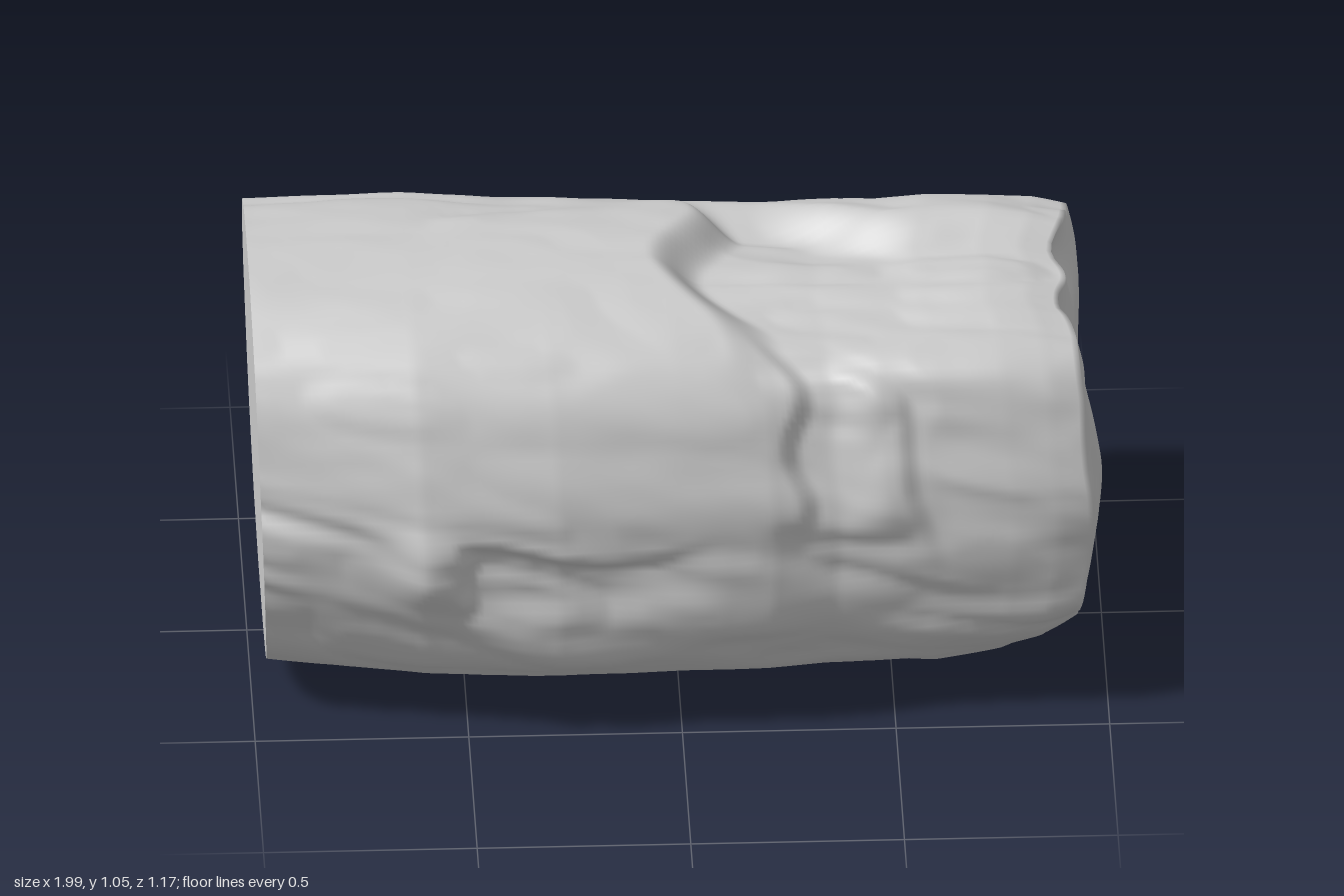
import * as THREE from 'three';

const RING = 180, LENGTH = 150, CAP = 36, CY = 0.53;
const RAD = Math.PI / 180;
const smooth = (a, b, v) => THREE.MathUtils.smoothstep(v, a, b);
const bell = (v, c, w) => Math.exp(-(((v - c) / w) ** 2));

// Extents along the length: x, top, bottom, front, back
const STATIONS = [
  [-1, 1.055, 0.06, 0.48, 0.585], [-0.8, 1.055, 0.04, 0.52, 0.58],
  [-0.62, 1.055, 0.03, 0.555, 0.575], [-0.3, 1.05, 0.02, 0.56, 0.57],
  [0, 1.045, 0.022, 0.535, 0.555], [0.2, 1.035, 0.015, 0.52, 0.55],
  [0.35, 1.03, 0.01, 0.485, 0.55], [0.6, 1.035, 0.01, 0.472, 0.557],
  [0.76, 1.03, 0.045, 0.467, 0.545], [0.86, 1.02, 0.085, 0.46, 0.535],
  [0.95, 1.0, 0.16, 0.448, 0.515],
];

function extents(x) {
  let i = 0;
  while (i < STATIONS.length - 2 && x > STATIONS[i + 1][0]) i++;
  const a = STATIONS[i], b = STATIONS[i + 1];
  const t = (x - a[0]) / (b[0] - a[0]);
  return a.map((v, k) => v + (b[k] - v) * t);
}

// Seeded value noise in -1..1
function hash(x, y, z) {
  let h = Math.imul(x, 374761393) ^ Math.imul(y, 668265263) ^ Math.imul(z, 1274126177);
  h = Math.imul(h ^ (h >>> 13), 1103515245);
  return (((h ^ (h >>> 16)) >>> 0) / 4294967295) * 2 - 1;
}
function noise(x, y, z) {
  const f = [x, y, z].map(Math.floor);
  const [u, v, w] = [x - f[0], y - f[1], z - f[2]].map((t) => t * t * (3 - 2 * t));
  let sum = 0;
  for (let c = 0; c < 8; c++) {
    const i = c & 1, j = (c >> 1) & 1, k = c >> 2;
    sum += hash(f[0] + i, f[1] + j, f[2] + k) * (i ? u : 1 - u) * (j ? v : 1 - v) * (k ? w : 1 - w);
  }
  return sum;
}

// Carved marks on the side: angle 0 is the front, 90 the top
function relief(x, deg) {
  let d = 0;
  // planed upper front and upper back
  d -= 0.016 * bell(deg, 24, 14) + 0.01 * bell(deg, 150, 16);
  // sunken top beyond the slab, leaving a ridge along the back
  const start = 0.04 + 0.05 * Math.sin(deg * 0.13) + 0.12 * (1 - smooth(45, 70, deg));
  const ridge = 122 - 16 * smooth(0.2, 0.6, x);
  d -= (0.085 - 0.015 * smooth(0.5, 0.9, x)) * smooth(start - 0.04, start + 0.09, x)
    * smooth(42, 68, deg) * (1 - smooth(ridge - 10, ridge + 4, deg));
  // broken edge of the thick front slab
  const edge = 0.26 - 0.18 * smooth(40, 80, deg) + 0.02 * Math.sin(deg * 0.2);
  d -= 0.028 * smooth(edge - 0.02, edge + 0.03, x) * (1 - smooth(edge + 0.08, 0.48, x))
    * smooth(-2, 10, deg) * (1 - smooth(45, 60, deg));
  // plate beside it, its upper border falling towards the broken end
  const plate = 0.51 + 0.003 * Math.max(0, 10 - deg);
  const border = 66 - (x - 0.1) * 70;
  d += 0.02 * smooth(plate - 0.3, plate - 0.03, x) * (1 - smooth(plate - 0.01, plate + 0.04, x))
    * smooth(-15, 10, deg) * (1 - smooth(border - 4, border + 6, deg));
  // hollow under the slab and the knob beside it
  d -= 0.035 * smooth(-0.55, -0.5, x + 0.01 * Math.sin(deg * 0.5)) * (1 - smooth(-0.2, 0.1, x))
    * smooth(-24, -13, deg) * (1 - smooth(-4, 0, deg - 3 * Math.sin(x * 9)));
  d += 0.035 * bell(x, -0.61, 0.08) * bell(deg, -4, 9);
  // undercut at the lower left and the crack above it
  d -= 0.025 * bell(deg, -30, 13) * (1 - smooth(-0.6, -0.35, x));
  d -= 0.016 * bell(deg, 9 - (x + 1) * 25, 3) * (1 - smooth(-0.8, -0.65, x));
  // lower front ledge
  d += 0.014 * bell(deg, -29 + 4 * Math.sin(x * 7), 6) * smooth(-0.5, -0.3, x);
  // lump low on the back of the broken end
  return d + 0.03 * bell(deg, 226, 7) * smooth(0.78, 0.9, x);
}

function radius(x, a) {
  const c = Math.cos(a), s = Math.sin(a);
  const [, top, bottom, front, back] = extents(x);
  const n = s > 0 ? 2.2 : 2.85 + 0.3 * smooth(0.6, 0.95, x);
  const w = c > 0 ? front : back, h = s > 0 ? top - CY : CY - bottom;
  const r = (Math.abs(c / w) ** n + Math.abs(s / h) ** n) ** (-1 / n);
  const deg = ((a / RAD + 90) % 360) - 90;
  // calmer on the slab and the underside
  const slab = smooth(-2, 12, deg) * (1 - smooth(80, 110, deg)) * (1 - smooth(0, 0.3, x));
  const under = 1 - smooth(-0.9, -0.5, s);
  const rough = (1 - 0.6 * slab) * (1 - 0.4 * under);
  // broad lumps, slanting grooves and fine grain
  const lean = s * 5 + x * c * 2;
  const lumps = 0.011 * noise(x * 3 + 9, s * 3.5 + x * c, c * 3.5 + 3);
  const grooves = 0.01 * (Math.min(0.45, Math.abs(noise(x * 2.8, lean, c * 5 + 7))) * 2.2 - 0.6);
  const grain = 0.004 * noise(x * 8, lean * 2, c * 10);
  return r + relief(x, deg) + rough * (lumps + grooves + grain);
}

// End surfaces: sawn plane on one side, bulging break on the other
const sawnX = (y) => -1 + 0.035 * (1.06 - y);
function brokenX(y, z) {
  let x = 0.943 + 0.063 * bell(y, 0.5, 0.2) * bell(z, 0.2, 0.22);
  x -= 0.03 * smooth(0.8, 1.0, y) + 0.02 * (1 - smooth(0.12, 0.32, y));
  x -= 0.05 * bell(y, 0.84, 0.1) * bell(z, 0.1, 0.06);
  x -= 0.04 * bell(y, 0.92, 0.07) * bell(z, -0.09, 0.05);
  x += 0.014 * noise(y * 4, z * 4, 4.5) + 0.003 * noise(y * 12, z * 12, 8);
  return Math.min(x, 1);
}

function makeGeometry(points, index) {
  const g = new THREE.BufferGeometry();
  g.setAttribute('position', new THREE.Float32BufferAttribute(points, 3));
  g.setIndex(index);
  g.computeVertexNormals();
  return g;
}

export function createModel() {
  const group = new THREE.Group();
  group.name = 'roughLog';
  const material = new THREE.MeshStandardMaterial({ color: 0xcccccc });
  const points = [], index = [], sawn = [sawnX(CY), CY, 0], sawnIndex = [];

  // Side rings, followed by rings closing the broken end
  const rows = LENGTH + CAP;
  for (let i = 0; i <= rows; i++) {
    const u = Math.min(i / LENGTH, 1);
    const k = i > LENGTH ? 1 - (i - LENGTH) / CAP : 1;
    for (let j = 0; j < RING; j++) {
      const a = (j / RING) * Math.PI * 2;
      const r = radius(-1 + 1.94 * u, a) * k;
      const y = Math.max(0, CY + r * Math.sin(a)), z = r * Math.cos(a);
      const x = THREE.MathUtils.lerp(sawnX(y), brokenX(y, z), u);
      points.push(x, y, z);
      if (i === 0) {
        sawn.push(x, y, z);
        sawnIndex.push(0, 1 + j, 1 + ((j + 1) % RING));
      }
      if (i < rows) {
        const p = i * RING + j, q = i * RING + ((j + 1) % RING);
        index.push(p, p + RING, q);
        if (i < rows - 1) index.push(q, p + RING, q + RING);
      }
    }
  }

  const body = new THREE.Mesh(makeGeometry(points, index), material);
  body.name = 'barkAndBrokenEnd';
  const end = new THREE.Mesh(makeGeometry(sawn, sawnIndex), material);
  end.name = 'flatEnd';
  group.add(body, end);
  return group;
}
